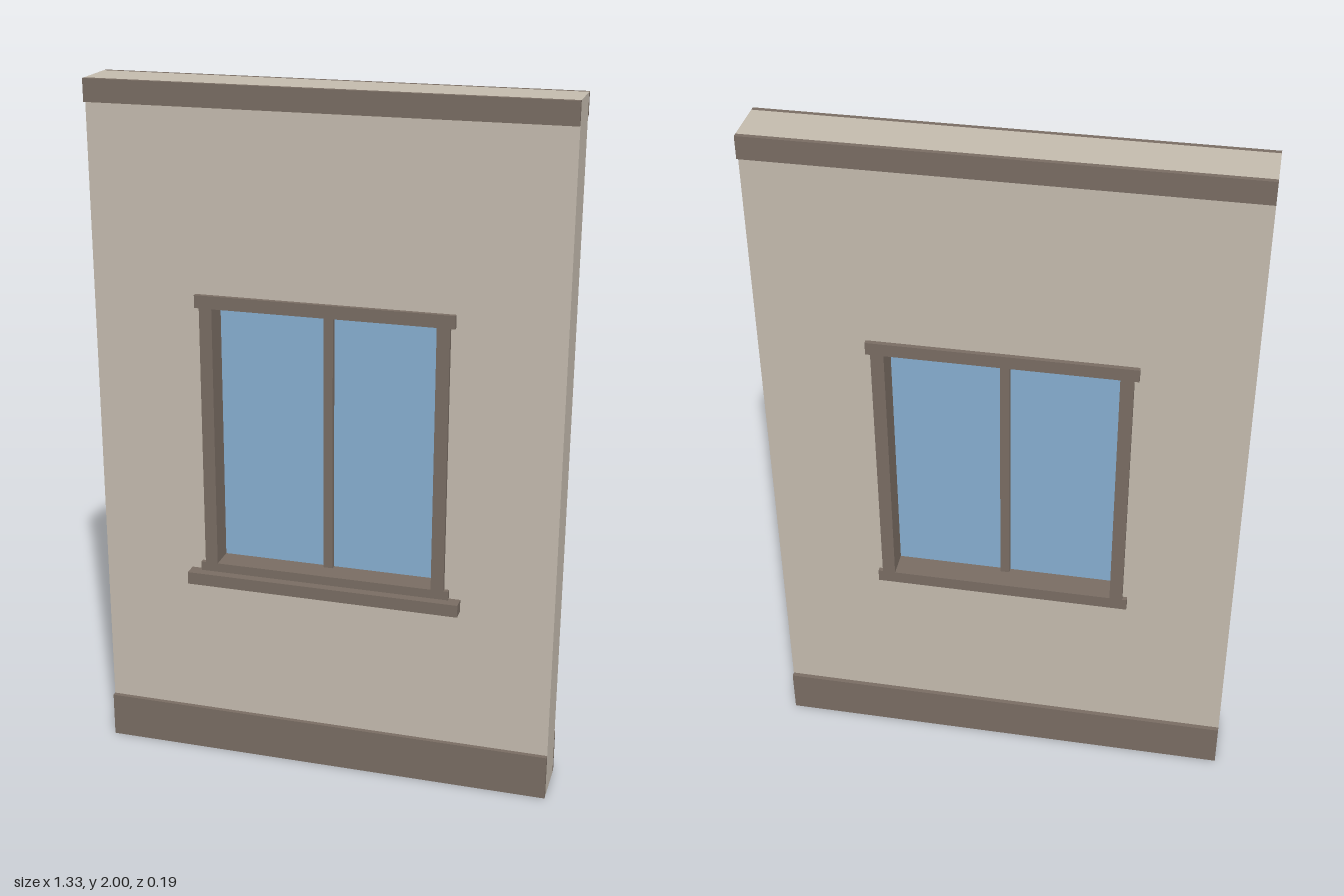
import * as THREE from 'three';

const wallMat = new THREE.MeshStandardMaterial({ name: 'plaster', color: 0xc4bbae });
const trimMat = new THREE.MeshStandardMaterial({ name: 'brown trim', color: 0x796d63 });
const glassMat = new THREE.MeshStandardMaterial({ name: 'window glass', color: 0x87aed0 });

// Depths of the wall faces and of the trim standing proud of them
const WALL_BACK = -0.08, WALL_FRONT = 0.0533;
const TRIM_BACK = -0.0933, TRIM_FRONT = 0.0667;
const MID = (WALL_BACK + WALL_FRONT) / 2;

// Box given by its limits on each axis
function box(name, material, [x0, x1], [y0, y1], [z0, z1]) {
  const mesh = new THREE.Mesh(new THREE.BoxGeometry(x1 - x0, y1 - y0, z1 - z0), material);
  mesh.position.set((x0 + x1) / 2, (y0 + y1) / 2, (z0 + z1) / 2);
  mesh.name = name;
  return mesh;
}

function rectangle(PathType, x, y0, y1) {
  return new PathType([[-x, y0], [x, y0], [x, y1], [-x, y1]].map(p => new THREE.Vector2(...p)));
}

export function createModel() {
  const model = new THREE.Group();
  model.name = 'wallWithWindow';

  // Wall panel with a window opening
  const outline = rectangle(THREE.Shape, 0.6667, 0, 2);
  outline.holes.push(rectangle(THREE.Path, 0.335, 0.603, 1.405));
  const wall = new THREE.Mesh(
    new THREE.ExtrudeGeometry(outline, { depth: WALL_FRONT - WALL_BACK, bevelEnabled: false }), wallMat);
  wall.position.z = WALL_BACK;
  wall.name = 'wall';
  model.add(wall);

  // Skirting and cornice strips on both faces
  for (const [side, depth] of [['front', [WALL_FRONT, TRIM_FRONT]], ['back', [TRIM_BACK, WALL_BACK]]]) {
    model.add(box(side + 'Skirting', trimMat, [-0.6667, 0.6667], [0, 0.1333], depth));
    model.add(box(side + 'Cornice', trimMat, [-0.6667, 0.6667], [1.9367, 2], depth));
  }

  // Window frame running through the whole wall
  const win = new THREE.Group();
  win.name = 'window';
  const through = [TRIM_BACK, TRIM_FRONT];
  win.add(box('frameHead', trimMat, [-0.3667, 0.3667], [1.3867, 1.4233], through));
  win.add(box('frameBottom', trimMat, [-0.3667, 0.3667], [0.5833, 0.62], through));
  win.add(box('leftJamb', trimMat, [0.3167, 0.3533], [0.62, 1.3867], through));
  win.add(box('rightJamb', trimMat, [-0.3533, -0.3167], [0.62, 1.3867], through));
  win.add(box('mullion', trimMat, [-0.0133, 0.0133], [0.62, 1.3867], [MID - 0.02, MID + 0.02]));

  // Panes either side of the mullion
  for (const [name, x] of [['leftPane', [0.0133, 0.3167]], ['rightPane', [-0.3167, -0.0133]]]) {
    win.add(box(name, glassMat, x, [0.62, 1.3867], [MID - 0.0045, MID + 0.0045]));
  }

  // Outer sill
  win.add(box('sill', trimMat, [-0.4, 0.4], [0.5567, 0.5933], [WALL_FRONT, 0.0933]));
  model.add(win);
  return model;
}
